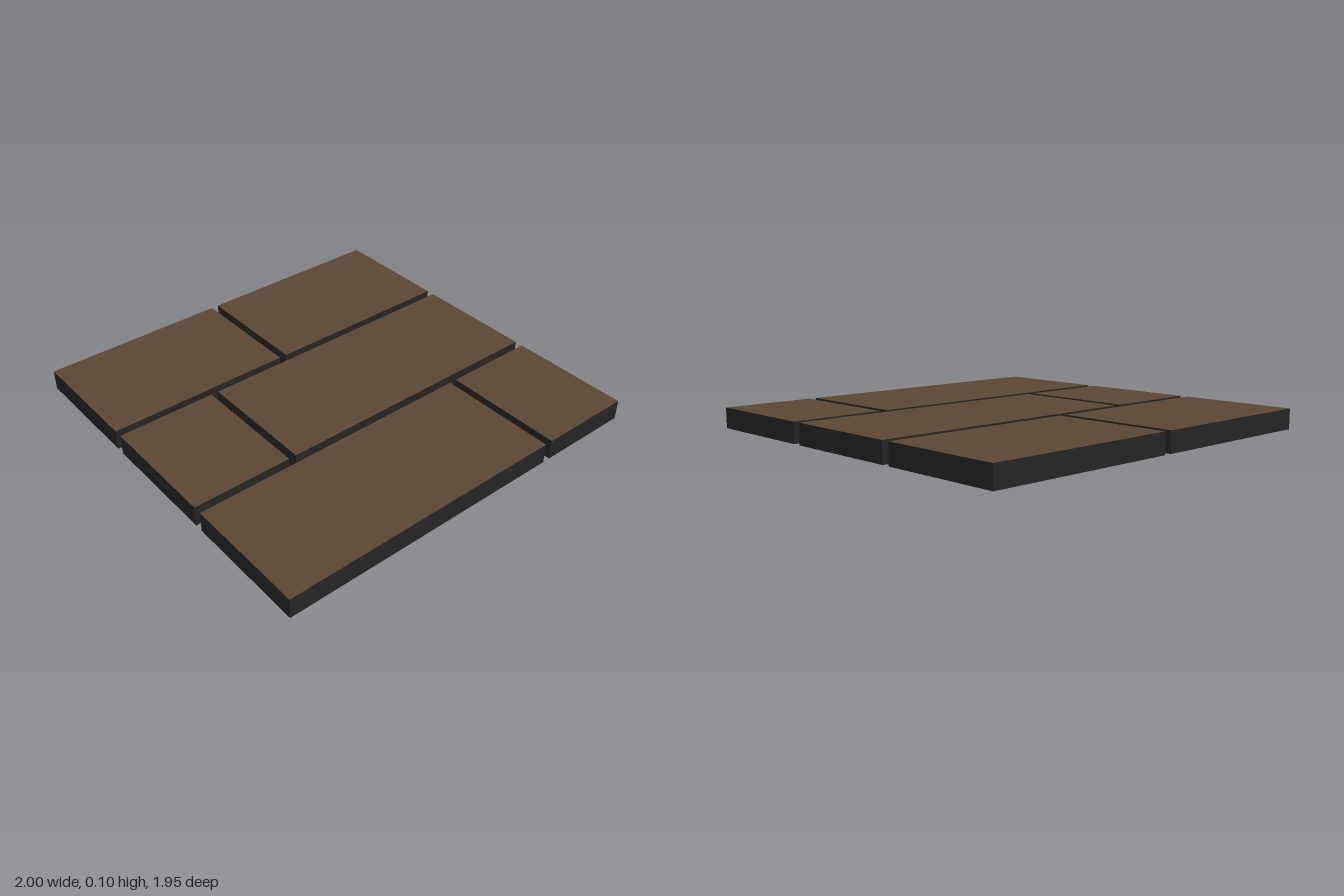
import * as THREE from 'three';

const HEIGHT = 0.104;

// Four walls of a box, open above and below
function wallsGeometry(w, d) {
  const geo = new THREE.BoxGeometry(w, HEIGHT, d);
  const index = Array.from(geo.index.array);
  geo.setIndex([...index.slice(0, 12), ...index.slice(24)]);
  geo.clearGroups();
  return geo;
}

export function createModel() {
  const wood = new THREE.MeshStandardMaterial({ color: 0x5c4633, side: THREE.DoubleSide });
  wood.name = 'brown plank top';
  const edge = new THREE.MeshStandardMaterial({ color: 0x242424, side: THREE.DoubleSide });
  edge.name = 'dark plank edge';

  // Rows of planks: depth range and the gap that splits each row
  const rows = [
    { name: 'back', z: [-0.976, -0.354], gap: [-0.045, -0.006] },
    { name: 'middle', z: [-0.312, 0.312], gap: [-0.494, -0.456] },
    { name: 'front', z: [0.354, 0.976], gap: [0.477, 0.517] },
  ];

  const model = new THREE.Group();
  model.name = 'plankFloor';

  // One hollow plank, open underneath
  function addPlank(name, x0, x1, z0, z1) {
    const plank = new THREE.Group();
    plank.name = name;
    plank.position.set((x0 + x1) / 2, 0, (z0 + z1) / 2);

    const top = new THREE.Mesh(new THREE.PlaneGeometry(x1 - x0, z1 - z0).rotateX(-Math.PI / 2), wood);
    top.name = 'plankTop';
    top.position.y = HEIGHT;

    const walls = new THREE.Mesh(wallsGeometry(x1 - x0, z1 - z0), edge);
    walls.name = 'plankWalls';
    walls.position.y = HEIGHT / 2;

    plank.add(top, walls);
    model.add(plank);
  }

  for (const { name, z, gap } of rows) {
    addPlank(`${name}RightPlank`, -1, gap[0], ...z);
    addPlank(`${name}LeftPlank`, gap[1], 1, ...z);
  }
  return model;
}
